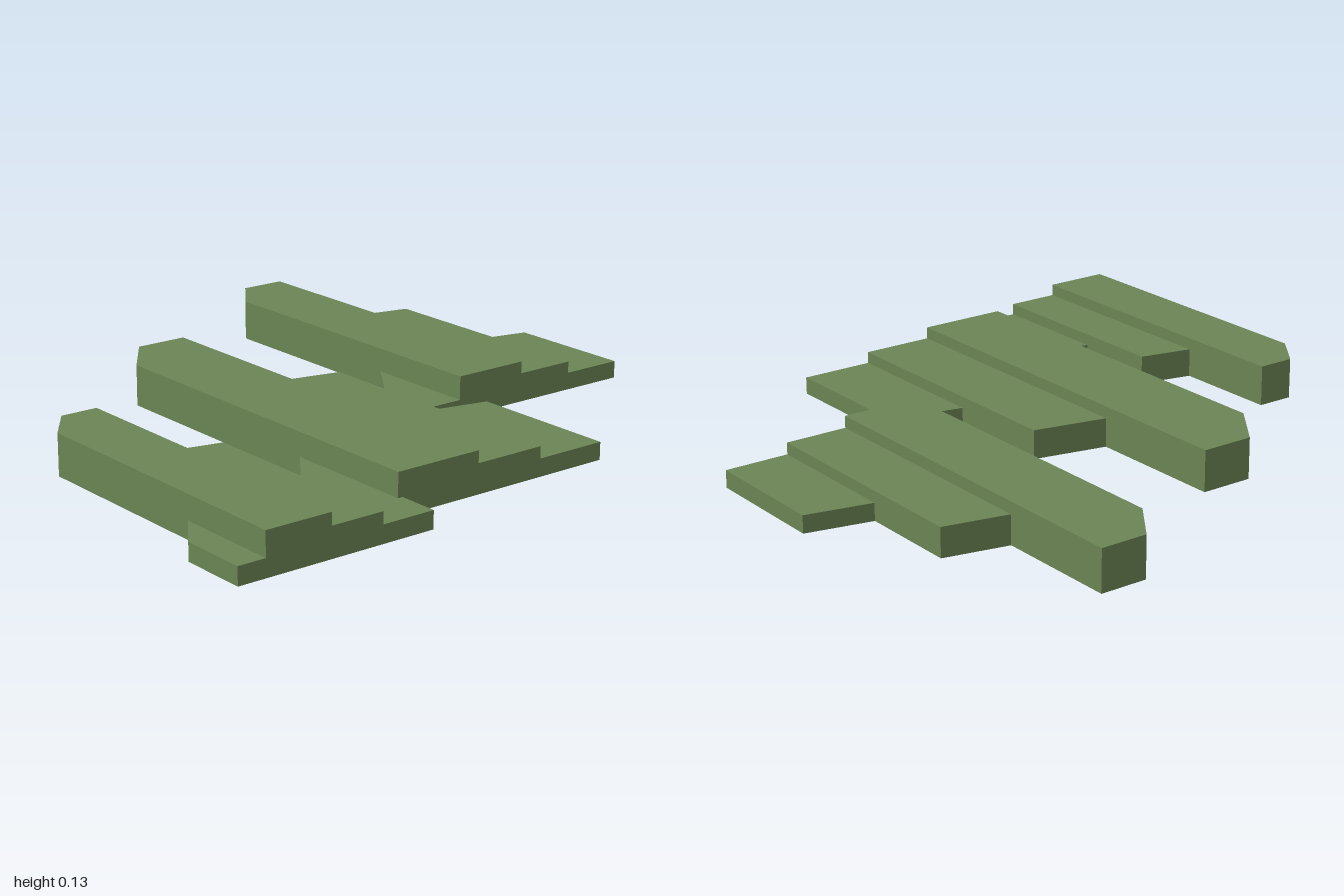
import * as THREE from 'three';

const green = new THREE.MeshStandardMaterial({ color: 0x6b8454 });
green.name = 'leafGreen';

const LOW = 0.055, MID = 0.092, TALL = 0.13;

// Upright slab: back outline given as [x, z] from left to right, closed by a straight front edge
function slab(name, height, front, back) {
  const first = back[0], last = back[back.length - 1];
  const outline = [...back, [last[0], front], [first[0], front]];
  const shape = new THREE.Shape(outline.map(([x, z]) => new THREE.Vector2(x, -z)));
  const geometry = new THREE.ExtrudeGeometry(shape, { depth: height, bevelEnabled: false });
  geometry.rotateX(-Math.PI / 2);
  const mesh = new THREE.Mesh(geometry, green);
  mesh.name = name;
  return mesh;
}

// One stepped clump: side step, tall clipped slab, middle step, low step
function clump(name, { front, side, tall, middle, low }) {
  const group = new THREE.Group();
  group.name = name;
  group.add(
    slab('sideStep', LOW, front, side),
    slab('tallSlab', TALL, front, tall),
    slab('middleStep', MID, front, middle),
    slab('lowStep', LOW, front, low)
  );
  return group;
}

export function createModel() {
  const model = new THREE.Group();
  model.name = 'steppedClumps';
  model.add(
    clump('frontClump', {
      front: 0.955,
      side: [[-1, 0.742], [-0.912, 0.617]],
      tall: [[-0.912, -0.018], [-0.82, -0.143], [-0.7, -0.143]],
      middle: [[-0.7, 0.21], [-0.528, 0.247]],
      low: [[-0.528, 0.535], [-0.354, 0.573]],
    }),
    clump('centreClump', {
      front: 0.827,
      side: [[-0.492, 0.558], [-0.37, 0.396]],
      tall: [[-0.37, -0.425], [-0.25, -0.588], [-0.08, -0.588]],
      middle: [[-0.08, -0.13], [0.155, -0.08]],
      low: [[0.155, 0.29], [0.392, 0.341]],
    }),
    clump('backClump', {
      front: 0.28,
      side: [[0.231, 0.048], [0.337, -0.098]],
      tall: [[0.337, -0.812], [0.44, -0.955], [0.59, -0.955]],
      middle: [[0.59, -0.557], [0.793, -0.513]],
      low: [[0.793, -0.188], [1, -0.143]],
    })
  );
  return model;
}
